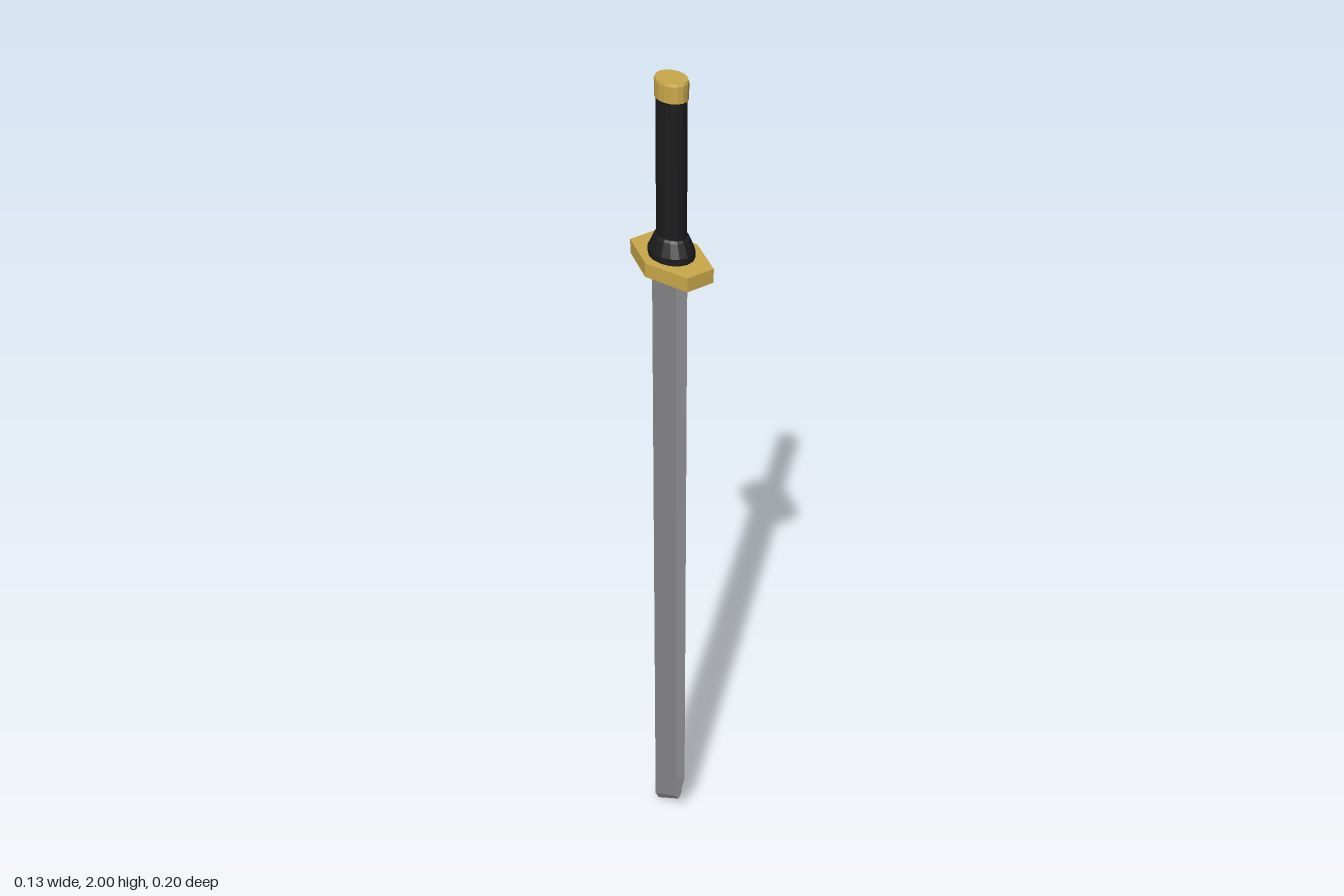
import * as THREE from 'three';

const material = (color) => new THREE.MeshStandardMaterial({ color, flatShading: true });

export function createModel() {
  const sword = new THREE.Group();
  const gold = material(0xc9a94a);
  const black = material(0x1c1c1e);
  const steel = material(0x8c8c90);

  const add = (name, geometry, mat) => {
    const mesh = new THREE.Mesh(geometry, mat);
    mesh.name = name;
    sword.add(mesh);
  };

  // Oval turned part: profile of [radius along z, height], narrowed along x
  const oval = (profile, squash) => {
    const points = profile.map(([r, y]) => new THREE.Vector2(r, y));
    return new THREE.LatheGeometry(points, 16).scale(squash, 1, 1);
  };

  // Grip, its flared collar and the end cap
  add('grip', oval([[0.037, 1.64], [0.037, 1.96]], 0.76), black);
  add('collar', oval([[0, 1.61], [0.056, 1.61], [0.056, 1.627], [0.042, 1.655], [0.036, 1.66]], 0.8), black);
  add('pommelCap', oval([[0, 1.96], [0.04, 1.96], [0.04, 1.995], [0.038, 2], [0, 2]], 0.77), gold);

  // Six-sided guard plate
  const outline = new THREE.Shape([
    [0.033, 0.1], [-0.033, 0.1], [-0.066, 0], [-0.033, -0.1], [0.033, -0.1], [0.066, 0],
  ].map(([x, z]) => new THREE.Vector2(x, z)));
  const guard = new THREE.ExtrudeGeometry(outline, { depth: 0.032, bevelEnabled: false });
  guard.rotateX(-Math.PI / 2).translate(0, 1.58, 0);
  add('guard', guard, gold);

  // Blade: thick body bounded by the ridge, bevelled to a sharp edge round the tip
  const half = 0.01;
  const edge = [[0.055, 1.6], [0.055, 0.155], [0.03, 0.065], [-0.055, 0]];
  const ridge = [[0.03, 1.6], [0.03, 0.15], [0.028, 0.08], [-0.055, 0.022]];
  const vertices = [];
  const triangle = (a, b, c) => vertices.push(...a, ...b, ...c);
  for (const side of [1, -1]) {
    const at = ([z, y], x) => [side * x, y, z];
    const face = (a, b, c) => (side > 0 ? triangle(a, b, c) : triangle(a, c, b));
    const spineTop = at([-0.055, 1.6], half);
    for (let i = 0; i < 3; i++) {
      const r0 = at(ridge[i], half), r1 = at(ridge[i + 1], half);
      const e0 = at(edge[i], 0), e1 = at(edge[i + 1], 0);
      face(spineTop, r0, r1);
      face(r0, e0, e1);
      face(r0, e1, r1);
    }
    // Flat spine and its pointed foot
    const foot = at(ridge[3], half), footMid = at(ridge[3], 0);
    const topMid = at([-0.055, 1.6], 0);
    face(spineTop, foot, footMid);
    face(spineTop, footMid, topMid);
    face(foot, at(edge[3], 0), footMid);
  }
  const blade = new THREE.BufferGeometry();
  blade.setAttribute('position', new THREE.Float32BufferAttribute(vertices, 3));
  blade.computeVertexNormals();
  add('blade', blade, steel);

  return sword;
}
